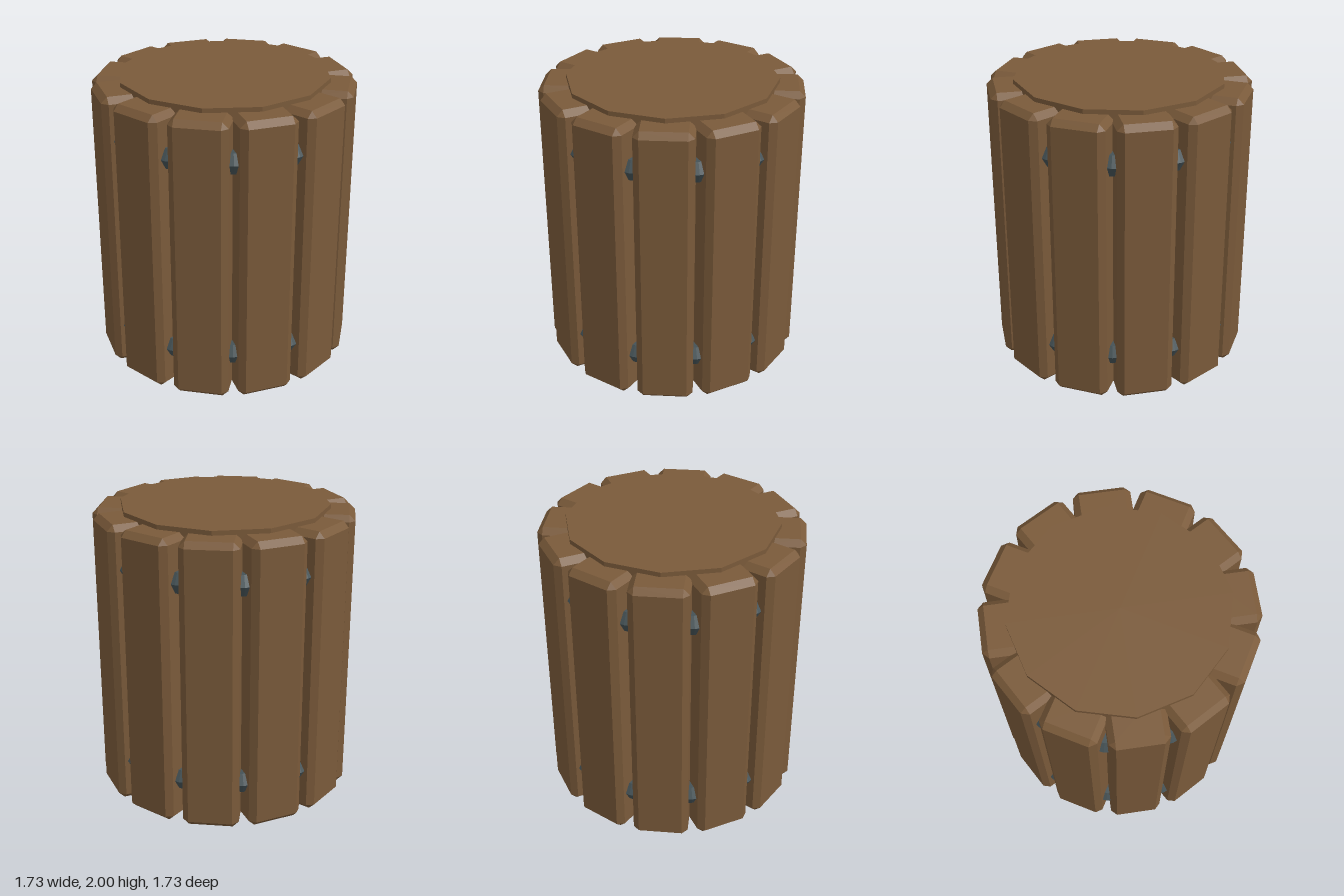
import * as THREE from 'three';
import { ConvexGeometry } from 'three/addons/geometries/ConvexGeometry.js';

const wood = new THREE.MeshStandardMaterial({ color: 0x7a5a3a, flatShading: true });
const iron = new THREE.MeshStandardMaterial({ color: 0x455256, flatShading: true });

const COUNT = 12;
const INNER = 0.56, OUTER = 0.867, HALF_WIDTH = 0.187, HEIGHT = 1.97, CHAMFER = 0.04;

// Upright plank facing +z, chamfered on every edge except those of its inner face
function plankGeometry() {
  const points = [];
  const c = CHAMFER, w = HALF_WIDTH, h = HEIGHT / 2;
  for (const sx of [-1, 1]) {
    for (const sy of [-1, 1]) {
      const add = (x, y, z) => points.push(new THREE.Vector3(sx * x, h + sy * y, z));
      add(w, h - c, OUTER - c);
      add(w - c, h, OUTER - c);
      add(w - c, h - c, OUTER);
      add(w, h - c, INNER);
      add(w - c, h, INNER);
    }
  }
  return new ConvexGeometry(points);
}

export function createModel() {
  const model = new THREE.Group();
  model.name = 'barrel';

  // Ring of planks, open at the bottom
  const planks = new THREE.Group();
  planks.name = 'planks';
  const geometry = plankGeometry();
  for (let i = 0; i < COUNT; i++) {
    const plank = new THREE.Mesh(geometry, wood);
    plank.name = 'plank';
    plank.rotation.y = (i / COUNT) * Math.PI * 2;
    planks.add(plank);
  }
  model.add(planks);

  // Twelve-sided lid, standing slightly proud of the planks
  const lid = new THREE.Mesh(new THREE.CylinderGeometry(0.705, 0.705, 0.08, COUNT), wood);
  lid.name = 'lid';
  lid.position.y = 1.96;
  model.add(lid);

  // Two six-sided hoops threaded through the planks
  for (const y of [0.3, 1.68]) {
    const hoop = new THREE.Mesh(new THREE.TorusGeometry(0.75, 0.08, 6, 24), iron);
    hoop.name = 'hoop';
    hoop.rotation.x = Math.PI / 2;
    hoop.position.y = y;
    model.add(hoop);
  }

  return model;
}
